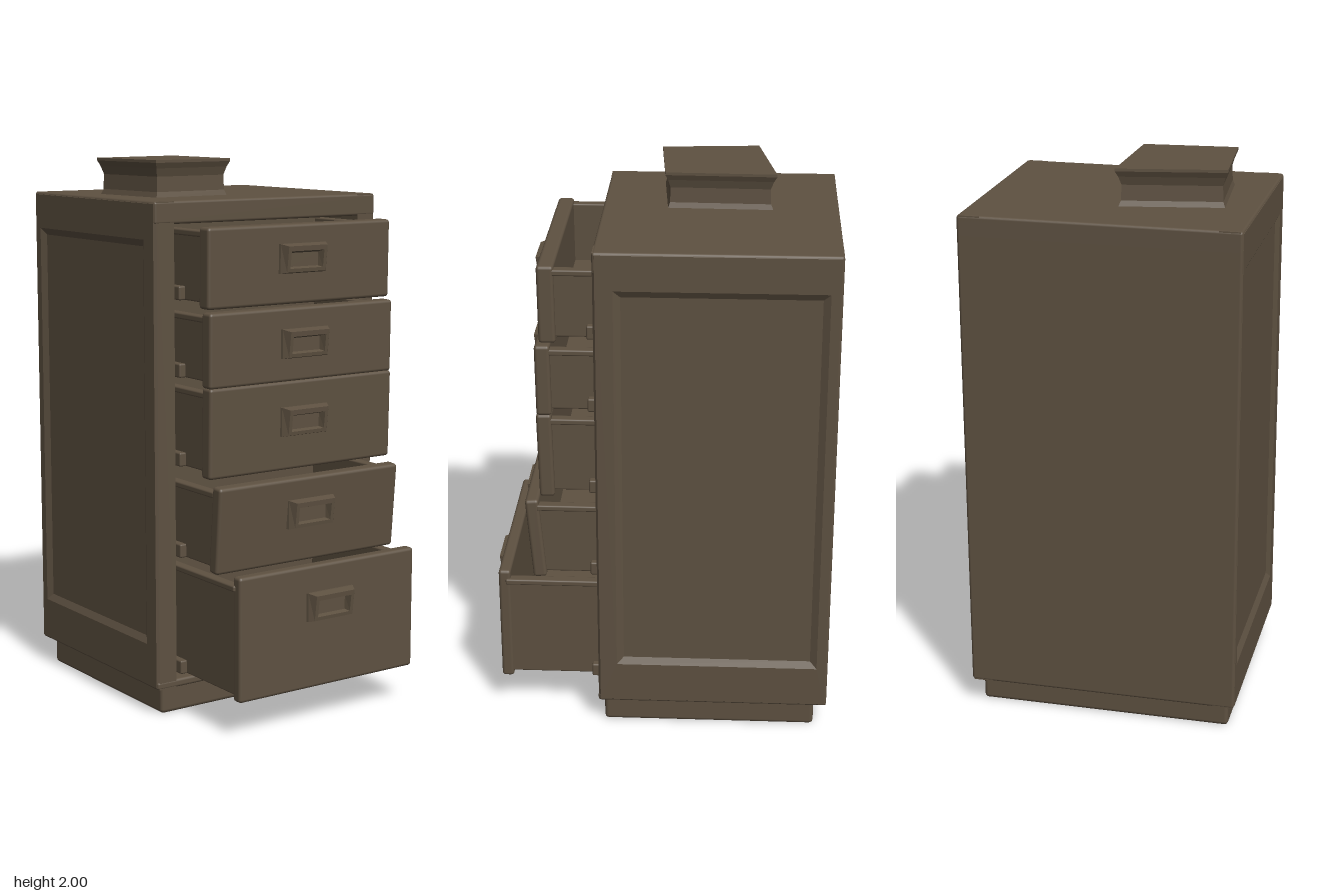
import * as THREE from 'three';
import { RoundedBoxGeometry } from 'three/addons/geometries/RoundedBoxGeometry.js';

const metal = new THREE.MeshStandardMaterial({ color: 0x5e5141 });
metal.name = 'dark brown metal';

// Closed loft along +z; every section is four counter-clockwise corners [x, y, z].
function loft(sections) {
  const pos = [];
  const quad = (a, b, c, d) => pos.push(...a, ...b, ...c, ...a, ...c, ...d);
  for (let i = 0; i < sections.length - 1; i++) {
    const a = sections[i], b = sections[i + 1];
    for (let k = 0; k < 4; k++) {
      const n = (k + 1) % 4;
      quad(a[k], a[n], b[n], b[k]);
    }
  }
  quad(...sections[sections.length - 1]);
  quad(...[...sections[0]].reverse());
  const geo = new THREE.BufferGeometry();
  geo.setAttribute('position', new THREE.Float32BufferAttribute(pos, 3));
  geo.computeVertexNormals();
  return geo;
}

const rect = (x0, x1, y0, y1, z, lean = 0) => [
  [x0, y0, z - lean], [x1, y0, z - lean], [x1, y1, z + lean], [x0, y1, z + lean],
];

function add(parent, name, geometry) {
  const mesh = new THREE.Mesh(geometry, metal);
  mesh.name = name;
  parent.add(mesh);
  return mesh;
}

// Softly rounded box given by its limits
function block(parent, name, x0, x1, y0, y1, z0, z1, r = 0.01) {
  const mesh = add(parent, name, new RoundedBoxGeometry(x1 - x0, y1 - y0, z1 - z0, 2, r));
  mesh.position.set((x0 + x1) / 2, (y0 + y1) / 2, (z0 + z1) / 2);
  return mesh;
}

// Side wall with a shallow bevelled panel pressed into its outer face
function sideWall(parent, name, s) {
  const section = (z0, z1, y0, y1, x) =>
    s > 0 ? rect(-z1, -z0, y0, y1, x) : rect(z0, z1, y0, y1, x);
  const geo = loft([
    section(-0.63, 0.22, 0.1, 1.865, 0.41),
    section(-0.63, 0.22, 0.1, 1.865, 0.482),
    section(-0.622, 0.212, 0.108, 1.857, 0.492),
    section(-0.59, 0.15, 0.26, 1.73, 0.492),
    section(-0.565, 0.125, 0.285, 1.705, 0.478),
  ]);
  geo.rotateY(s * Math.PI / 2);
  add(parent, name, geo);
}

// Tapered recessed pull whose upper lip stands further out
function handle(parent, y, z) {
  const mesh = add(parent, 'handle', loft([
    rect(-0.105, 0.105, -0.05, 0.055, -0.01),
    rect(-0.1, 0.1, -0.05, 0.055, 0.008),
    rect(-0.085, 0.085, -0.045, 0.048, 0.032, 0.006),
    rect(-0.072, 0.072, -0.032, 0.03, 0.032, 0.004),
    rect(-0.064, 0.064, -0.027, 0.022, 0.008),
  ]));
  mesh.position.set(0, y, z);
}

function drawer(parent, name, { y0, y1, z, t, w, tilt, top, handleY }) {
  const g = new THREE.Group();
  g.name = name;
  const back = 0.02, boxFront = z - t * 0.6, b0 = y0 + 0.02;
  // Open tray behind the front
  for (const s of [-1, 1]) {
    const edge = s * 0.385, inner = s * 0.36;
    block(g, 'traySide', Math.min(edge, inner), Math.max(edge, inner), b0, top, back, boxFront, 0.006);
    const rail = block(g, 'runner', -0.015, 0.015, b0, b0 + 0.05, back, 0.25, 0.006);
    rail.position.x = s * 0.395;
    const lip = block(g, 'trayLip', -0.02, 0.02, top - 0.022, top, back, boxFront, 0.006);
    lip.position.x = s * 0.38;
  }
  block(g, 'trayFloor', -0.38, 0.38, b0, b0 + 0.025, back, boxFront, 0.006);
  const front = block(g, 'drawerFront', -w, w, y0, y1, z - t, z, 0.012);
  front.rotation.x = tilt;
  handle(g, handleY, z + Math.tan(tilt) * (handleY - (y0 + y1) / 2));
  parent.add(g);
}

export function createModel() {
  const model = new THREE.Group();
  model.name = 'filingCabinet';

  // Cabinet shell and plinth
  const shell = new THREE.Group();
  shell.name = 'cabinetShell';
  sideWall(shell, 'leftWall', 1);
  sideWall(shell, 'rightWall', -1);
  block(shell, 'topPanel', -0.491, 0.491, 1.785, 1.866, -0.631, 0.221);
  block(shell, 'bottomPanel', -0.491, 0.491, 0.099, 0.13, -0.631, 0.221);
  block(shell, 'backPanel', -0.491, 0.491, 0.1, 1.865, -0.631, -0.6);
  block(shell, 'innerBack', -0.42, 0.42, 0.11, 1.8, -0.01, 0.02, 0.005);
  block(shell, 'plinth', -0.462, 0.462, 0, 0.11, -0.585, 0.2, 0.015);
  model.add(shell);

  // Drawers pulled out by different amounts
  const drawers = [
    { y0: 1.5, y1: 1.783, z: 0.42, t: 0.06, w: 0.402, tilt: 0.01, top: 1.77, handleY: 1.66 },
    { y0: 1.225, y1: 1.49, z: 0.435, t: 0.055, w: 0.405, tilt: 0.01, top: 1.475, handleY: 1.36 },
    { y0: 0.905, y1: 1.228, z: 0.433, t: 0.055, w: 0.405, tilt: 0.02, top: 1.21, handleY: 1.08 },
    { y0: 0.57, y1: 0.885, z: 0.475, t: 0.05, w: 0.4, tilt: 0.08, top: 0.865, handleY: 0.75 },
    { y0: 0.135, y1: 0.587, z: 0.595, t: 0.045, w: 0.392, tilt: 0, top: 0.555, handleY: 0.435 },
  ];
  drawers.forEach((d, i) => drawer(model, 'drawer' + (i + 1), d));

  // Skewed box with a flared lid, resting on the top
  const corners = [[-0.355, -0.02], [-0.015, 0.005], [-0.005, 0.405], [-0.385, 0.34]];
  const ring = (scale, h) => corners.map(([x, y]) =>
    [-0.19 + (x + 0.19) * scale, 0.185 + (y - 0.185) * scale, h]);
  const box = loft([
    ring(0.96, 1.86), ring(0.91, 1.885), ring(0.9, 1.94), ring(0.95, 1.97), ring(1, 1.99), ring(1, 2),
  ]);
  box.rotateX(-Math.PI / 2);
  add(model, 'topBox', box);

  return model;
}
